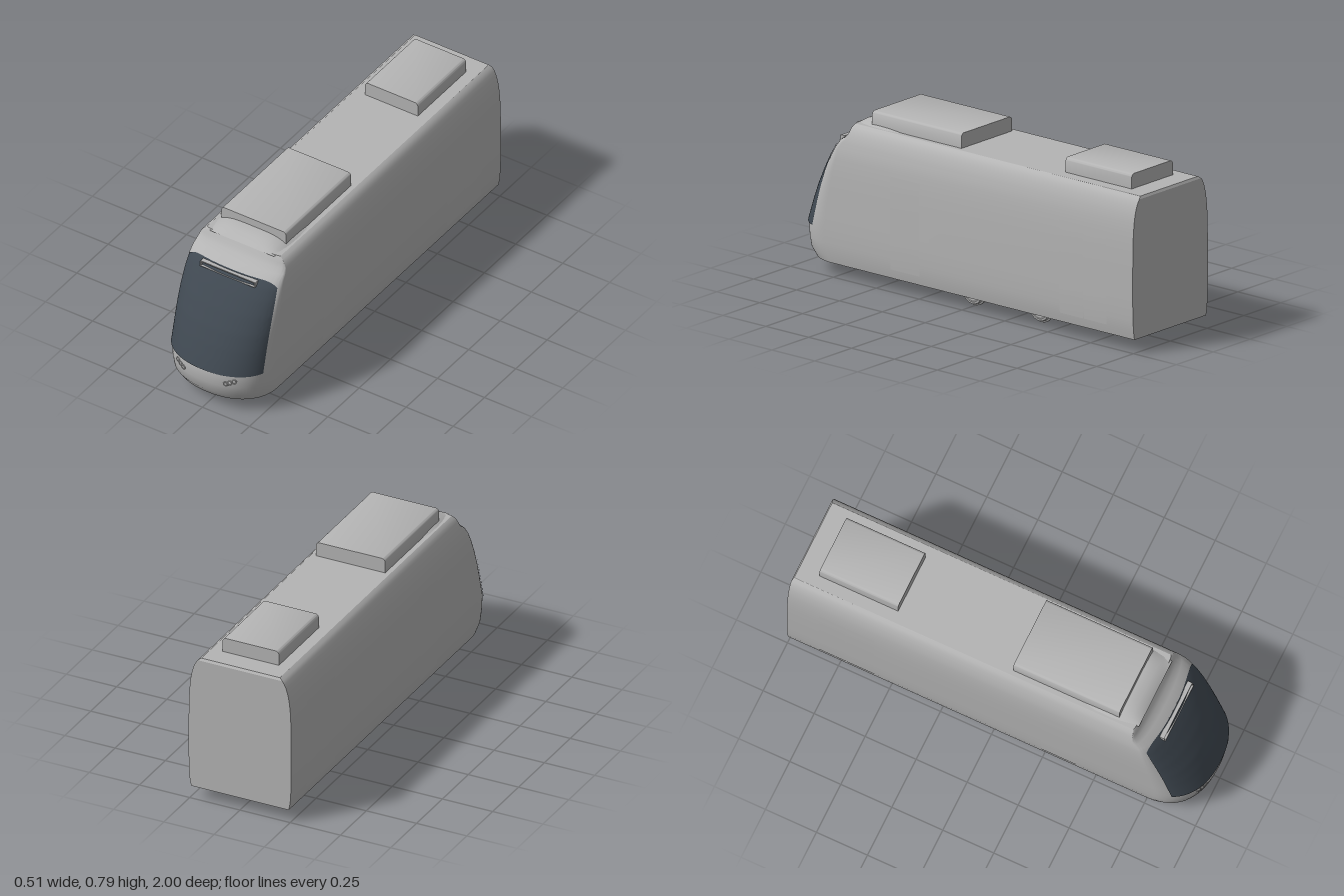
import * as THREE from 'three';
import { toCreasedNormals } from 'three/addons/utils/BufferGeometryUtils.js';

// Body layers: height, half width, nose tip z, nose corner set-back
const LAYERS = [
  [0.062, 0.243, 0.962, 0.2], [0.1, 0.25, 0.988, 0.2], [0.15, 0.253, 0.997, 0.2],
  [0.215, 0.255, 1.0, 0.2], [0.27, 0.255, 0.98, 0.19], [0.33, 0.255, 0.956, 0.175],
  [0.4, 0.255, 0.924, 0.155], [0.48, 0.254, 0.879, 0.125], [0.55, 0.251, 0.834, 0.097],
  [0.6, 0.246, 0.799, 0.077], [0.63, 0.241, 0.772, 0.065], [0.65, 0.236, 0.735, 0.045],
  [0.67, 0.23, 0.708, 0.03], [0.69, 0.221, 0.693, 0.018], [0.705, 0.211, 0.685, 0.012],
  [0.716, 0.195, 0.678, 0.01],
];
const EXP = 2.2;

function layerAt(y) {
  let i = 0;
  while (i < LAYERS.length - 2 && y > LAYERS[i + 1][0]) i++;
  const a = LAYERS[i], b = LAYERS[i + 1];
  const t = (y - a[0]) / (b[0] - a[0]);
  return a.map((n, k) => n + (b[k] - n) * t);
}

// Point on the nose: u runs across the width from -1 to 1
function nosePoint(u, y) {
  const [, w, tip, depth] = layerAt(y);
  const round = Math.pow(Math.max(0, 1 - Math.pow(Math.abs(u), EXP)), 1 / EXP);
  return [u * w, y, tip - depth * (1 - round)];
}

// Surface from a rule fn(column, row) over a grid of points
function grid(cols, rows, fn, crease = 0.5) {
  const pos = [], index = [];
  for (let r = 0; r <= rows; r++) for (let c = 0; c <= cols; c++) pos.push(...fn(c, r));
  for (let r = 0; r < rows; r++) for (let c = 0; c < cols; c++) {
    const a = r * (cols + 1) + c, b = a + cols + 1;
    index.push(a, a + 1, b + 1, a, b + 1, b);
  }
  const geo = new THREE.BufferGeometry();
  geo.setAttribute('position', new THREE.Float32BufferAttribute(pos, 3));
  geo.setIndex(index);
  return toCreasedNormals(geo, crease);
}

export function createModel() {
  const group = new THREE.Group();
  const shell = new THREE.MeshStandardMaterial({ color: 0xb4b4b4 });
  shell.name = 'light grey shell';
  const dark = new THREE.MeshStandardMaterial({ color: 0x404952 });
  dark.name = 'dark glass';

  const add = (name, geo, mat = shell, x = 0, y = 0, z = 0) => {
    const mesh = new THREE.Mesh(geo, mat);
    mesh.name = name;
    mesh.position.set(x, y, z);
    group.add(mesh);
    return mesh;
  };

  // Body: stacked outlines, closed by collapsing the end rows and columns to the centre line
  const N = 48, top = LAYERS.length + 1;
  add('body', grid(N + 4, top, (c, r) => {
    const y = LAYERS[Math.min(Math.max(r - 1, 0), LAYERS.length - 1)][0];
    const u = Math.sin((Math.min(Math.max(c - 2, 0), N) / N - 0.5) * Math.PI);
    const p = nosePoint(u, y);
    if (c < 2 || c > N + 2) p[2] = y > 0.71 ? -0.993 : -1;
    if (r === 0 || r === top || c === 0 || c === N + 4) p[0] = 0;
    return p;
  }));

  // Windscreen: thin skin just proud of the nose, with rounded upper corners
  add('windscreen', grid(48, 32, (c, r) => {
    const u = 0.945 * Math.sin((c / 48 - 0.5) * Math.PI);
    const yTop = 0.63 - 0.025 * Math.pow(Math.abs(u) / 0.945, 10);
    const p = nosePoint(u, 0.214 + (yTop - 0.214) * r / 32);
    return [p[0] * 1.008, p[1] + 0.001, p[2] + 0.004];
  }, 0.6), dark);

  // Destination display frame above the windscreen
  add('displayFrameTop', new THREE.BoxGeometry(0.292, 0.005, 0.022), shell, 0, 0.624, 0.785);
  add('displayFrameBottom', new THREE.BoxGeometry(0.292, 0.002, 0.012), shell, 0, 0.604, 0.797);
  for (const s of [-1, 1]) {
    add('displayFrameEnd', new THREE.BoxGeometry(0.005, 0.022, 0.022), shell, s * 0.1435, 0.614, 0.787);
  }

  // Roof fairing blending into the front roof unit
  const ridge = [[0.36, 0, 0.165], [0.41, 0.25, 0.187], [0.48, 0.7, 0.192], [0.55, 0.95, 0.19],
    [0.6, 1, 0.186], [0.64, 0.75, 0.18], [0.67, 0.35, 0.175], [0.685, 0, 0.17]];
  add('roofFairing', grid(24, ridge.length - 1, (c, r) => {
    const [z, h, w] = ridge[ridge.length - 1 - r];
    const u = c / 12 - 1;
    return [u * w, 0.713 + 0.035 * h * (1 - Math.pow(Math.abs(u), 4)), z];
  }, 1));

  // Roof equipment boxes with bevelled upper edges
  const roofUnit = (name, w, z0, z1) => {
    const s = new THREE.Shape();
    s.moveTo(-w, 0.708);
    s.lineTo(w, 0.708);
    s.lineTo(w, 0.771);
    s.quadraticCurveTo(w - 0.003, 0.781, w - 0.014, 0.785);
    s.lineTo(-w + 0.014, 0.785);
    s.quadraticCurveTo(-w + 0.003, 0.781, -w, 0.771);
    const geo = new THREE.ExtrudeGeometry(s, { depth: z1 - z0, bevelEnabled: false, curveSegments: 5 });
    add(name, toCreasedNormals(geo, 0.6), shell, 0, 0, z0);
  };
  roofUnit('frontRoofUnit', 0.172, 0.07, 0.59);
  roofUnit('rearRoofUnit', 0.14, -0.895, -0.51);

  // Door leaves: thin skins following both body sides
  const doors = [['frontDoor', 0.245, 0.415], ['rearDoorLeaf', -0.845, -0.712], ['rearDoorLeaf', -0.708, -0.572]];
  for (const s of [-1, 1]) for (const [name, z0, z1] of doors) {
    add(name, grid(1, 16, (c, r) => {
      const y = 0.105 + 0.43 * r / 16;
      return [s * (layerAt(y)[1] + 0.0015), y, (c === 0) === (s > 0) ? z1 : z0];
    }));
  }

  // Headlights: three small ringed lamps on each side
  const lampRing = new THREE.TorusGeometry(0.01, 0.003, 8, 20);
  const lampLens = new THREE.SphereGeometry(0.009, 16, 8);
  for (const s of [-1, 1]) for (let i = 0; i < 3; i++) {
    const x = s * (0.112 + i * 0.0185), y = 0.167 + i * 0.0085;
    const z = nosePoint(x / layerAt(y)[1], y)[2];
    const turn = s * (0.25 + i * 0.08);
    add('headlightRing', lampRing, shell, x, y, z + 0.001).rotation.y = turn;
    const lens = add('headlightLens', lampLens, shell, x, y, z);
    lens.scale.z = 0.5;
    lens.rotation.y = turn;
  }

  // Wheels with an inner flange, axles and the bogie plate
  const profile = [[0, -0.012], [0.066, -0.012], [0.066, -0.006], [0.058, -0.002], [0.056, 0.012],
    [0.046, 0.014], [0.044, 0.009], [0.02, 0.009], [0.018, 0.013], [0, 0.013]];
  const wheel = toCreasedNormals(
    new THREE.LatheGeometry(profile.map(([r, h]) => new THREE.Vector2(r, h)), 40), 0.5);
  const axle = new THREE.CylinderGeometry(0.008, 0.008, 0.31, 16);
  for (const z of [0.005, -0.385]) {
    add('axle', axle, shell, 0, 0.066, z).rotation.z = Math.PI / 2;
    for (const s of [-1, 1]) add('wheel', wheel, shell, s * 0.162, 0.066, z).rotation.z = -s * Math.PI / 2;
  }
  add('bogiePlate', new THREE.BoxGeometry(0.3, 0.008, 0.39), shell, 0, 0.062, -0.19);

  return group;
}
